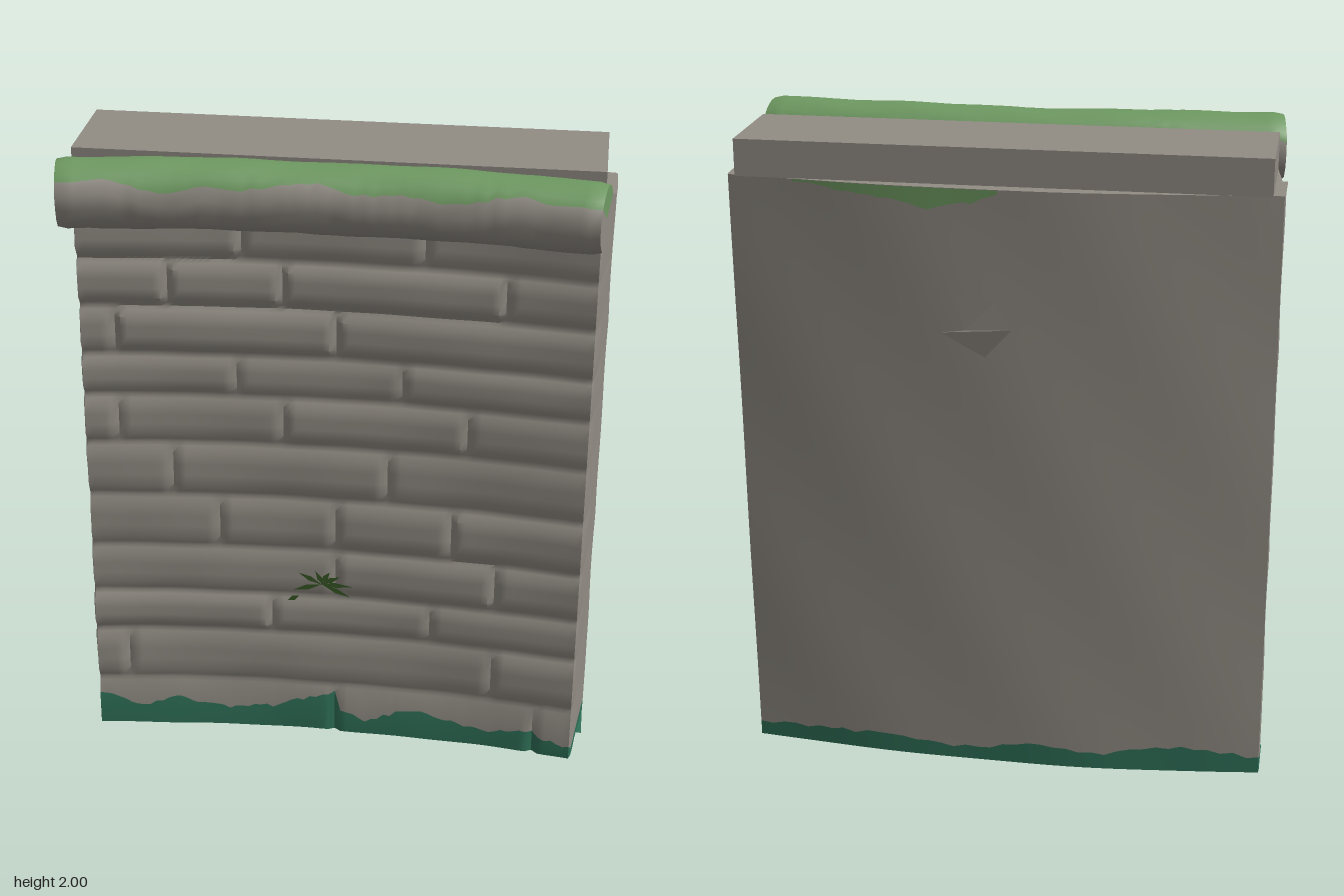
import * as THREE from 'three';
import { toCreasedNormals } from 'three/addons/utils/BufferGeometryUtils.js';

const paint = (name, color, side = THREE.FrontSide) => {
  const m = new THREE.MeshStandardMaterial({ color, side });
  m.name = name;
  return m;
};
const lerp = THREE.MathUtils.lerp;
const hash = (n) => { const s = Math.sin(n * 127.1 + 3.7) * 43758.5453; return s - Math.floor(s); };
const wobble = (a, b) => Math.sin(a * 9.1 + b * 5.3) * 0.6 + Math.sin(a * 21.7 - b * 13.9 + 1) * 0.4;

// linear reading of [position, value] pairs
function read(pairs, x) {
  for (let i = 1; i < pairs.length; i++) {
    const [x0, v0] = pairs[i - 1], [x1, v1] = pairs[i];
    if (x <= x1) return lerp(v0, v1, THREE.MathUtils.clamp((x - x0) / (x1 - x0), 0, 1));
  }
  return pairs[pairs.length - 1][1];
}

// skin over nu x nv points; u is closed when loop is true; bands = [firstRow, rowCount, material]
function skin(nu, nv, point, loop, bands, crease) {
  const pos = [], index = [], cols = loop ? nu : nu - 1;
  for (let j = 0; j < nv; j++) for (let i = 0; i < nu; i++) pos.push(...point(i, j));
  for (let j = 0; j < nv - 1; j++) for (let i = 0; i < cols; i++) {
    const a = j * nu + i, b = j * nu + (i + 1) % nu;
    index.push(a, b, b + nu, a, b + nu, a + nu);
  }
  const g = new THREE.BufferGeometry();
  g.setAttribute('position', new THREE.Float32BufferAttribute(pos, 3));
  g.setIndex(index);
  for (const [row, count, mat] of bands) g.addGroup(row * cols * 6, count * cols * 6, mat);
  return toCreasedNormals(g, crease);
}

// stone courses: joint heights, and the upright joints in each course
const JOINTS = [0, 0.19, 0.375, 0.515, 0.68, 0.86, 1.04, 1.2, 1.335, 1.49, 1.64, 1.8, 1.95];
const UPRIGHTS = [[0, 0.64], [-0.66, 0.5], [-0.2, 0.3], [0, 0.5], [-0.36, 0, 0.36], [-0.5, 0.16], [-0.66, -0.16, 0.4],
  [-0.3, 0.2], [-0.66, 0], [-0.5, -0.16, 0.5], [-0.28, 0.26], [0]];
const TOP = 1.86;

function relief(x, y) {
  let c = 0;
  while (c < JOINTS.length - 2 && y >= JOINTS[c + 1]) c++;
  let d = JOINTS[c + 1] - y, stone = 0;
  if (c > 0) d = Math.min(d, y - JOINTS[c]);
  for (const u of UPRIGHTS[c]) {
    d = Math.min(d, Math.abs(x - u) * 1.2 + 0.006);
    if (x > u) stone++;
  }
  const round = THREE.MathUtils.smoothstep(d, 0, 0.035);
  return round * (0.011 + 0.009 * hash(c * 7 + stone)) + 0.003 * wobble(x, y * 1.5);
}

// curved, leaning front and back faces
const bow = (x) => 0.055 * (x / 0.78) ** 2;
const frontZ = (x, y) => 0.075 - 0.032 * y + bow(x) + relief(x, y);
const backZ = (x, y) => -0.23 - 0.038 * y + bow(x) + 0.004 * wobble(x * 0.5, y * 0.5);

function buildWall(stone, algae) {
  // plan outline: [x, share of the way from front to back]
  const plan = [];
  for (let i = 0; i <= 76; i++) plan.push([-0.76 + i * 0.02, 0]);
  const sides = [0.07, 0.22, 0.4, 0.6, 0.8, 0.95];
  for (const w of sides) plan.push([lerp(0.765, 0.8, w), w]);
  for (let i = 0; i <= 40; i++) plan.push([0.795 - i * 0.03975, 1]);
  for (const w of [...sides].reverse()) plan.push([-lerp(0.765, 0.8, w), w]);

  // ragged upper edge of the damp band
  const frontDamp = [[-0.76, 0.14], [-0.62, 0.09], [-0.5, 0.12], [-0.36, 0.085], [-0.2, 0.1], [-0.02, 0.16], [0, 0.16],
    [0.02, 0.1], [0.1, 0.07], [0.24, 0.125], [0.36, 0.1], [0.5, 0.07], [0.6, 0.1], [0.76, 0.06]];
  const backDamp = [[-0.8, 0.05], [-0.55, 0.09], [-0.3, 0.05], [-0.05, 0.07], [0.1, 0.04], [0.4, 0.06], [0.8, 0.05]];
  const damp = (x, w, i) => (w === 0 ? read(frontDamp, x) : w === 1 ? read(backDamp, x) : 0.045) + 0.014 * (hash(i) - 0.5);

  const levels = [];
  for (let c = 1; c < JOINTS.length; c++) {
    const y0 = JOINTS[c], y1 = Math.min(JOINTS[c + 1] ?? TOP, TOP);
    levels.push(y0 - 0.012, y0);
    if (c === JOINTS.length - 2) { levels.push(1.812, 1.835, TOP); break; }
    levels.push(y0 + 0.012);
    for (const t of [0.2, 0.4, 0.6, 0.8]) levels.push(lerp(y0, y1, t));
  }
  const rows = levels.length + 4;
  const point = (i, j) => {
    const [x, w] = plan[i];
    const cap = j === 0 || j === rows - 1;
    let y = j < 2 ? 0.02 - 0.02 * w : j === 2 ? damp(x, w, i) : levels[Math.min(j - 3, levels.length - 1)];
    if (cap && j === 0) y = 0.01;
    const depth = cap ? 0.5 : w;
    const bump = w > 0 && w < 1 ? 0.003 * wobble(y * 0.6, w) : 0;
    return [x - Math.sign(x) * Math.abs(bump), y, lerp(frontZ(x, y), backZ(x, y), depth)];
  };
  const g = skin(plan.length, rows, point, true, [[0, 2, 0], [2, rows - 3, 1]], 0.75);
  return new THREE.Mesh(g, [algae, stone]);
}

// rounded coping roll with a mossy upper side
function buildRoll(stone, moss) {
  const n = 61, arc = 9, rest = 10;
  const point = (i, j) => {
    const k = THREE.MathUtils.clamp(i - 1, 0, n - 3), x = lerp(-0.77, 0.77, k / (n - 3));
    const front = -(1.0 + 0.2 * wobble(x, 1) + 0.1 * (hash(k) - 0.5));
    const back = 1.15 + 0.2 * wobble(x, 4) + 0.1 * (hash(k + 90) - 0.5);
    const a = j <= arc ? lerp(front, back, j / arc) : lerp(back, front + Math.PI * 2, (j - arc) / rest);
    const end = i === 0 || i === n - 1;
    const r = end ? 0 : (0.101 + 0.003 * wobble(x, Math.cos(a))) * (k === 0 || k === n - 3 ? 0.94 : 1);
    const dz = -Math.sin(a) * r;
    return [x * (1 - 0.2 * dz), 1.895 + Math.cos(a) * r, 0.153 + 0.05 * (x / 0.77) ** 2 + dz];
  };
  const g = skin(n, arc + rest + 1, point, false, [[0, arc, 0], [arc, rest, 1]], 0.8);
  return new THREE.Mesh(g, [moss, stone]);
}

export function createModel() {
  const model = new THREE.Group();
  model.name = 'wallSegment';
  const stone = paint('stone', 0x918c84);
  const moss = paint('moss', 0x6f9a62);
  const algae = paint('algae', 0x2f7058);
  const leafGreen = paint('leaf', 0x3c6129, THREE.DoubleSide);
  const add = (name, mesh, parent = model) => { mesh.name = name; parent.add(mesh); return mesh; };

  add('wall', buildWall(stone, algae));
  add('copingRoll', buildRoll(stone, moss));

  // flat capping slab
  const slab = add('cappingSlab', new THREE.Mesh(new THREE.BoxGeometry(1.53, 0.108, 0.325), stone));
  slab.position.set(0, 1.918, -0.113);

  // moss hanging over the top of the back
  const edge = [[0, 1.85], [0.08, 1.82], [0.2, 1.8], [0.32, 1.82], [0.4, 1.835], [0.6, 1.856]];
  const patch = skin(25, 2, (i, j) => {
    const x = 0.6 - i * 0.025, y = j ? TOP : read(edge, x) + 0.01 * (hash(i) - 0.5);
    return [x, y, backZ(x, y) - 0.005];
  }, false, [], 0.8);
  add('backMoss', new THREE.Mesh(patch, moss));

  // broken flake on the back, notched on one side
  const outline = [[0.17, 1.43], [0.1, 1.44], [0.12, 1.55], [0.01, 1.53], [-0.04, 1.45], [0.04, 1.36]];
  const flake = new THREE.ShapeGeometry(new THREE.Shape(outline.map(([x, y]) => new THREE.Vector2(x, y))));
  const p = flake.attributes.position;
  for (let i = 0; i < p.count; i++) {
    const lift = i === 1 ? 0.018 : 0.006;
    p.setZ(i, backZ(p.getX(i), p.getY(i)) - lift);
  }
  const flakeStone = paint('flakeStone', 0x918c84, THREE.DoubleSide);
  add('backFlake', new THREE.Mesh(toCreasedNormals(flake, 0.1), flakeStone));

  // little weed growing out of a joint: [x, y, length, angle]
  const weed = add('weed', new THREE.Group());
  const leaves = [[-0.05, 0.575, 0.11, 0.05], [-0.04, 0.575, 0.1, -0.35], [-0.04, 0.58, 0.05, 1.0], [-0.04, 0.575, 0.08, 2.75],
    [-0.04, 0.575, 0.1, 3.5], [-0.03, 0.57, 0.06, 2.1], [-0.11, 0.53, 0.045, 3.7], [-0.04, 0.58, 0.07, 0.5]];
  leaves.forEach(([x, y, len, angle], i) => {
    const shape = new THREE.Shape([[0, 0], [len * 0.5, -0.009], [len, 0], [len * 0.5, 0.009]].map((q) => new THREE.Vector2(...q)));
    const leaf = add('leaf', new THREE.Mesh(new THREE.ShapeGeometry(shape), leafGreen), weed);
    leaf.position.set(x, y, 0.084 + i * 0.001);
    leaf.rotation.set(0, -0.15, angle);
  });
  return model;
}
